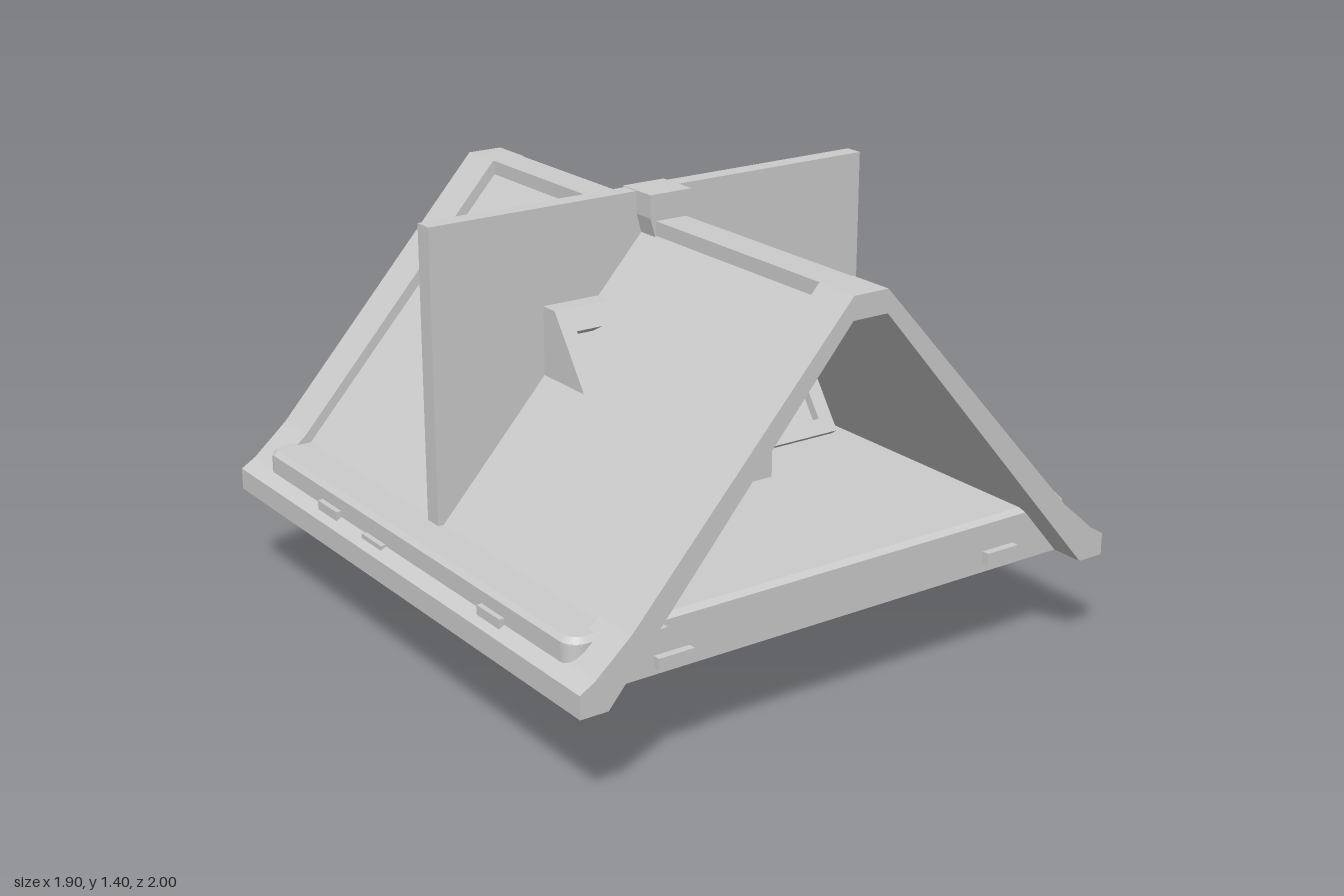
import * as THREE from 'three';

const material = new THREE.MeshStandardMaterial({ color: 0xcccccc, flatShading: true, side: THREE.DoubleSide });

function add(group, name, geometry, x = 0, y = 0, z = 0) {
  const mesh = new THREE.Mesh(geometry, material);
  mesh.name = name;
  mesh.position.set(x, y, z);
  group.add(mesh);
  return mesh;
}

// Box given by its minimum and maximum on each axis
function box(group, name, x0, x1, y0, y1, z0, z1) {
  return add(group, name, new THREE.BoxGeometry(x1 - x0, y1 - y0, z1 - z0),
    (x0 + x1) / 2, (y0 + y1) / 2, (z0 + z1) / 2);
}

// Closed outline mirrored about the vertical axis, from its right half (bottom to top)
function mirrored(half) {
  const left = half.map(([x, y]) => [-x, y]).reverse();
  return [...half, ...left].map(([x, y]) => new THREE.Vector2(x, y));
}

function extrude(points, depth) {
  const geometry = new THREE.ExtrudeGeometry(new THREE.Shape(points), { depth, bevelEnabled: false });
  return geometry.translate(0, 0, -depth / 2);
}

function roof() {
  const group = new THREE.Group();
  group.name = 'roof';
  const inner = mirrored([[0.86, 0.32], [0.06, 1.25]]).reverse();
  const arch = (outer) => [...mirrored(outer), ...inner];
  const frame = arch([[0.95, 0.32], [0.95, 0.39], [0.9, 0.42], [0.785, 0.52], [0.06, 1.32]]);
  const panel = arch([[0.95, 0.32], [0.95, 0.39], [0.9, 0.42], [0.775, 0.485], [0.055, 1.275], [0.055, 1.32]]);
  for (const s of [-1, 1]) add(group, 'gableFrame', extrude(frame, 0.15), 0, 0, s * 0.925);
  add(group, 'roofPanels', extrude(panel, 1.7));
  return group;
}

// Rounded rectangle with half sizes w and d
function roundedOutline(w, d, r) {
  return new THREE.Shape()
    .absarc(w - r, d - r, r, 0, Math.PI / 2)
    .absarc(r - w, d - r, r, Math.PI / 2, Math.PI)
    .absarc(r - w, r - d, r, Math.PI, Math.PI * 1.5)
    .absarc(w - r, r - d, r, Math.PI * 1.5, Math.PI * 2);
}

function base() {
  const group = new THREE.Group();
  group.name = 'base';
  // Thin walls, open below, under a floor with a bevelled rim
  const rim = roundedOutline(0.908, 0.893, 0.05);
  rim.holes.push(roundedOutline(0.896, 0.881, 0.04));
  const walls = new THREE.ExtrudeGeometry(rim, { depth: 0.152, bevelEnabled: false, curveSegments: 4 });
  add(group, 'walls', walls.rotateX(-Math.PI / 2), 0, 0.32, 0);
  const floor = new THREE.ExtrudeGeometry(roundedOutline(0.893, 0.878, 0.04), {
    depth: 0.002, bevelThickness: 0.015, bevelSize: 0.015, bevelOffset: 0, bevelSegments: 1, curveSegments: 4,
  });
  floor.rotateX(-Math.PI / 2);
  // Flatten the lower bevel so that only the top edge is bevelled
  const p = floor.attributes.position;
  for (let i = 0; i < p.count; i++) p.setY(i, Math.max(p.getY(i), 0));
  add(group, 'floor', floor, 0, 0.472, 0);

  for (const s of [-1, 1]) {
    for (const [z, top] of [[-0.45, 0.435], [-0.17, 0.42], [0.5, 0.435]]) {
      box(group, 'sideTab', s * 0.9 - 0.025, s * 0.9 + 0.025, 0.4, top, z - 0.06, z + 0.06);
    }
  }
  box(group, 'cornerTab', 0.84, 0.88, 0.42, 0.455, 0.86, 0.915);
  const front = [[-0.67, 0.447], [-0.58, 0.36], [-0.81, 0.37], [0.62, 0.37]];
  const back = [[0.66, 0.4], [0.22, 0.39], [-0.04, 0.37], [-0.29, 0.42], [-0.55, 0.38], [0.45, 0.37]];
  const tab = (z) => ([x, y]) => box(group, 'endTab', x - 0.06, x + 0.06, y - 0.018, y + 0.018, z - 0.03, z + 0.03);
  front.forEach(tab(0.887));
  back.forEach(tab(-0.887));
  return group;
}

function underside() {
  const group = new THREE.Group();
  group.name = 'underside';
  const keel = mirrored([[0, 0.263], [0.67, 0.253], [0.82, 0.31], [0.85, 0.33], [0.85, 0.472]]);
  add(group, 'crossBeam', extrude(keel, 0.14));
  box(group, 'mountBlock', -0.36, 0.37, 0.33, 0.472, -0.27, -0.04);
  box(group, 'foot', -0.17, 0.14, 0, 0.472, -0.23, 0.23);
  box(group, 'footRib', -0.175, 0.17, 0.12, 0.25, 0, 0.05);
  box(group, 'footTab', 0.03, 0.15, 0.21, 0.25, 0.2, 0.26);
  box(group, 'footTab', 0.1, 0.155, 0.18, 0.21, -0.24, -0.12);
  box(group, 'footTab', 0.02, 0.16, 0.27, 0.31, -0.25, -0.19);
  return group;
}

// Two sloping framed panels back to back, on a pedestal
function slopedConsole() {
  const group = new THREE.Group();
  group.name = 'slopedConsole';
  const alongX = (half, width) => extrude(mirrored(half), width).rotateY(Math.PI / 2);
  const z = (y) => 0.06 + (1.1 - y) * 0.71;
  for (const s of [-1, 1]) {
    add(group, 'sidePost', alongX([[0.355, 0.633], [z(0.65), 0.65], [0.06, 1.1]], 0.05), s * 0.385);
  }
  add(group, 'topRail', alongX([[z(1.04) - 0.025, 1.022], [z(1.04), 1.04], [0.06, 1.1]], 0.72));
  add(group, 'bottomRail', alongX([[0.355, 0.633], [z(0.65), 0.65], [z(0.69), 0.69], [z(0.69) - 0.025, 0.672]], 0.72));
  add(group, 'recessedPanel', alongX([[z(0.64) - 0.037, 0.64], [z(1.04) - 0.037, 1.04]], 0.72));
  box(group, 'pedestal', -0.26, 0.26, 0.48, 0.65, -0.25, 0.25);
  return group;
}

// Fitting hung beneath the ridge
function hangingLamp() {
  const group = new THREE.Group();
  group.name = 'hangingLamp';
  const hanger = mirrored([[0.065, 1.15], [0.065, 1.215], [0.05, 1.25]]);
  add(group, 'hanger', extrude(hanger, 0.16), 0, 0, 0.12);
  const cap = mirrored([[0.085, 1.09], [0.1, 1.105], [0.1, 1.15], [0.085, 1.165]]);
  add(group, 'lampCap', extrude(cap, 0.22), -0.013, 0, 0.13);
  box(group, 'lampBody', -0.095, 0.065, 0.97, 1.1, 0.04, 0.2);
  box(group, 'lampTab', -0.1, 0.02, 1.01, 1.05, 0.18, 0.225);
  for (const s of [-1, 1]) {
    const arm = box(group, 'lampArm', s * 0.13 - 0.05, s * 0.13 + 0.05, 1.11, 1.135, 0.08, 0.16);
    arm.rotation.z = -s * 0.3;
  }
  return group;
}

export function createModel() {
  const model = new THREE.Group();
  model.name = 'gableShelter';
  model.add(roof(), base(), underside(), slopedConsole(), hangingLamp());

  // Upright panel crossing the ridge, with a block where they meet
  box(model, 'crossPanel', -0.79, 0.79, 0.48, 1.4, -0.06, 0);
  const block = mirrored([[0.055, 1.26], [0.075, 1.33], [0.075, 1.402]]);
  add(model, 'ridgeBlock', extrude(block, 0.145));
  return model;
}
